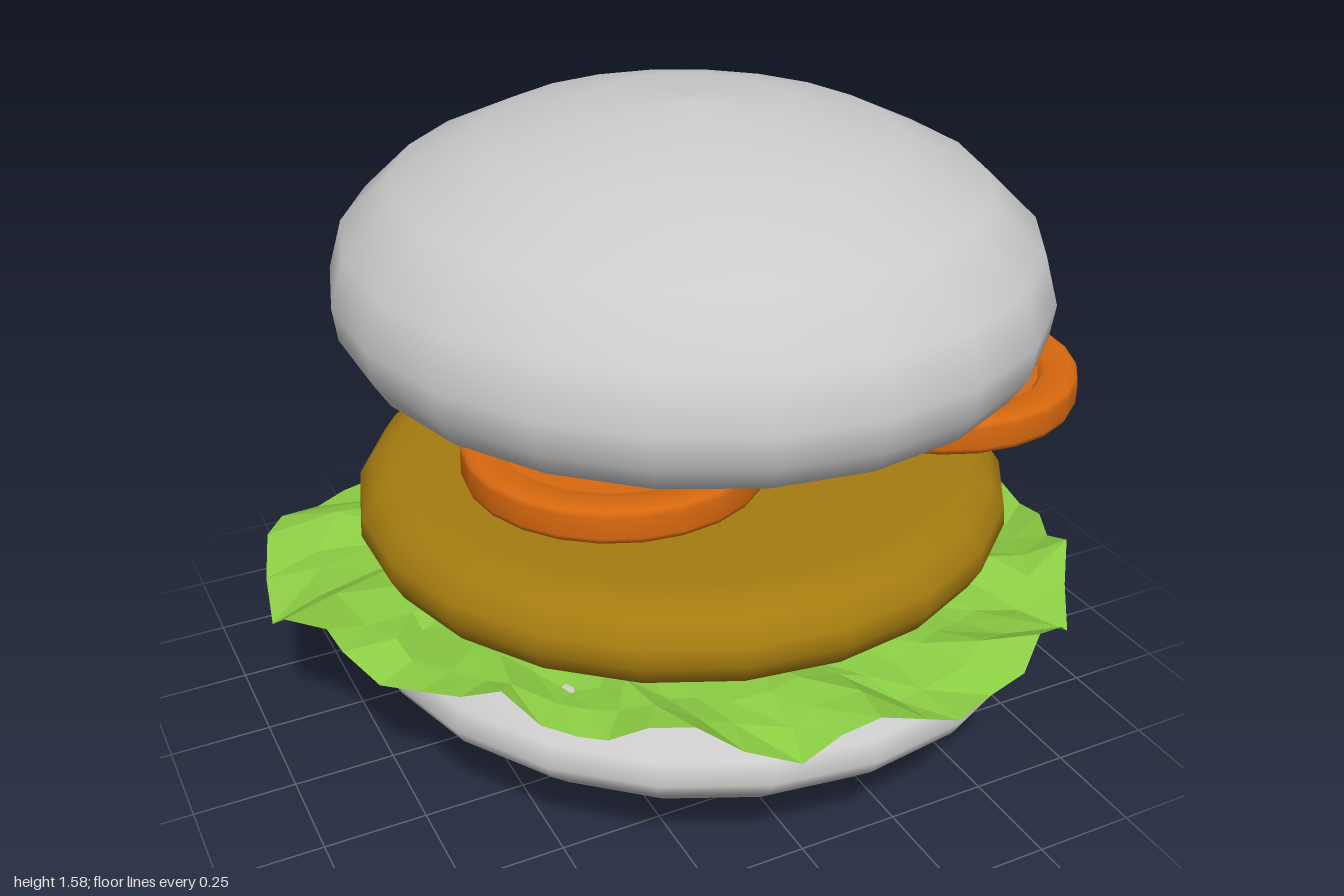
import * as THREE from 'three';

const grey = new THREE.MeshStandardMaterial({ color: 0xcccccc });
const pattyBrown = new THREE.MeshStandardMaterial({ color: 0xa57c10 });
const tomatoOrange = new THREE.MeshStandardMaterial({ color: 0xd9690f });
const leafGreen = new THREE.MeshStandardMaterial({ color: 0x8acb43, side: THREE.DoubleSide, flatShading: true });

// Smooth turned part from [radius, y] pairs, listed bottom to top
function turned(name, profile, segments, material, x, z, scaleZ = 1) {
  const points = profile.map(([r, y]) => new THREE.Vector2(r, y));
  const mesh = new THREE.Mesh(new THREE.LatheGeometry(points, segments), material);
  mesh.name = name;
  mesh.position.set(x, 0, z);
  mesh.scale.z = scaleZ;
  return mesh;
}

// Ruffled crescent of lettuce, a strip of wavy cross-sections around the bun
function lettuceGeometry() {
  // [angle in degrees, outer radius]
  const outline = [[-18, 0.77], [5, 0.86], [30, 0.95], [50, 1.0], [80, 0.99], [105, 0.93],
    [135, 0.88], [158, 0.93], [175, 1.02], [189, 1.11], [199, 1.1], [210, 1.03], [223, 0.91], [236, 0.74]];
  const outerRadius = (a) => {
    let i = 0;
    while (i < outline.length - 2 && a > outline[i + 1][0]) i++;
    const [a0, r0] = outline[i], [a1, r1] = outline[i + 1];
    return r0 + (r1 - r0) * (a - a0) / (a1 - a0);
  };
  let seed = 7;
  const rand = () => (seed = (seed * 16807) % 2147483647) / 2147483647 - 0.5;

  const positions = [], index = [], steps = 42, rows = 4;
  for (let i = 0; i <= steps; i++) {
    const deg = -18 + 254 * i / steps;
    const outer = outerRadius(deg), inner = Math.min(0.66, outer - 0.06);
    const taper = Math.min(1, 0.35 + 4 * Math.min(i, steps - i) / steps);
    for (let j = 0; j < rows; j++) {
      const t = j / (rows - 1);
      const r = inner + (outer - inner) * t + (j === rows - 1 ? Math.min(0, rand() * 0.05) : rand() * 0.03);
      const a = THREE.MathUtils.degToRad(deg + rand() * 3);
      const wave = Math.sin(i * 1.35 + j * 0.9) * 0.035 + rand() * 0.05;
      positions.push(r * Math.cos(a), 0.445 - 0.015 * t + wave * taper * (0.2 + 0.8 * t), r * Math.sin(a));
      if (i < steps && j < rows - 1) {
        const p = i * rows + j, q = p + rows;
        index.push(p, q, p + 1, p + 1, q, q + 1);
      }
    }
  }
  const geometry = new THREE.BufferGeometry();
  geometry.setAttribute('position', new THREE.Float32BufferAttribute(positions, 3));
  geometry.setIndex(index);
  geometry.computeVertexNormals();
  return geometry;
}

// Tomato slice: raised rim around a thinner middle
function tomatoSlice(x, y, z, i) {
  const group = new THREE.Group();
  group.name = 'tomatoSlice' + (i + 1);
  const rim = [[0.26, -0.024], [0.275, -0.042], [0.335, -0.047], [0.35, -0.038], [0.355, -0.025],
    [0.355, 0.025], [0.35, 0.038], [0.335, 0.047], [0.275, 0.042], [0.26, 0.024]];
  group.add(turned('tomatoRim', rim, 24, tomatoOrange, 0, 0));
  const middle = new THREE.Mesh(new THREE.CylinderGeometry(0.262, 0.262, 0.048, 24), tomatoOrange);
  middle.name = 'tomatoMiddle';
  group.add(middle);
  group.position.set(x, y, z);
  return group;
}

export function createModel() {
  const model = new THREE.Group();
  model.name = 'burger';

  // Buns
  model.add(turned('bottomBun', [[0, 0.005], [0.3, 0.022], [0.48, 0.055], [0.64, 0.11], [0.78, 0.19],
    [0.86, 0.265], [0.885, 0.31], [0.865, 0.36], [0.8, 0.405], [0.7, 0.425], [0.5, 0.43], [0, 0.43]],
  22, grey, 0.11, -0.02, 1.01));
  model.add(turned('topBun', [[0, 0.965], [0.6, 0.965], [0.74, 0.975], [0.81, 1.015], [0.85, 1.08], [0.86, 1.16],
    [0.825, 1.28], [0.7, 1.4], [0.49, 1.5], [0.25, 1.56], [0, 1.58]],
  22, grey, 0.1, -0.05, 1.045));

  // Patty
  model.add(turned('patty', [[0, 0.46], [0.68, 0.46], [0.74, 0.465], [0.8, 0.495], [0.83, 0.55], [0.825, 0.6],
    [0.79, 0.65], [0.74, 0.675], [0.68, 0.68], [0, 0.68]],
  22, pattyBrown, 0.09, -0.06, 0.985));

  // Lettuce
  const lettuce = new THREE.Mesh(lettuceGeometry(), leafGreen);
  lettuce.name = 'lettuce';
  lettuce.position.set(0.1, 0, -0.04);
  model.add(lettuce);

  // Tomato slices
  [[-0.24, 0.928, -0.4], [-0.225, 0.863, 0.22], [0.605, 0.903, 0.27], [0.45, 0.903, -0.43]]
    .forEach(([x, y, z], i) => model.add(tomatoSlice(x, y, z, i)));

  return model;
}
